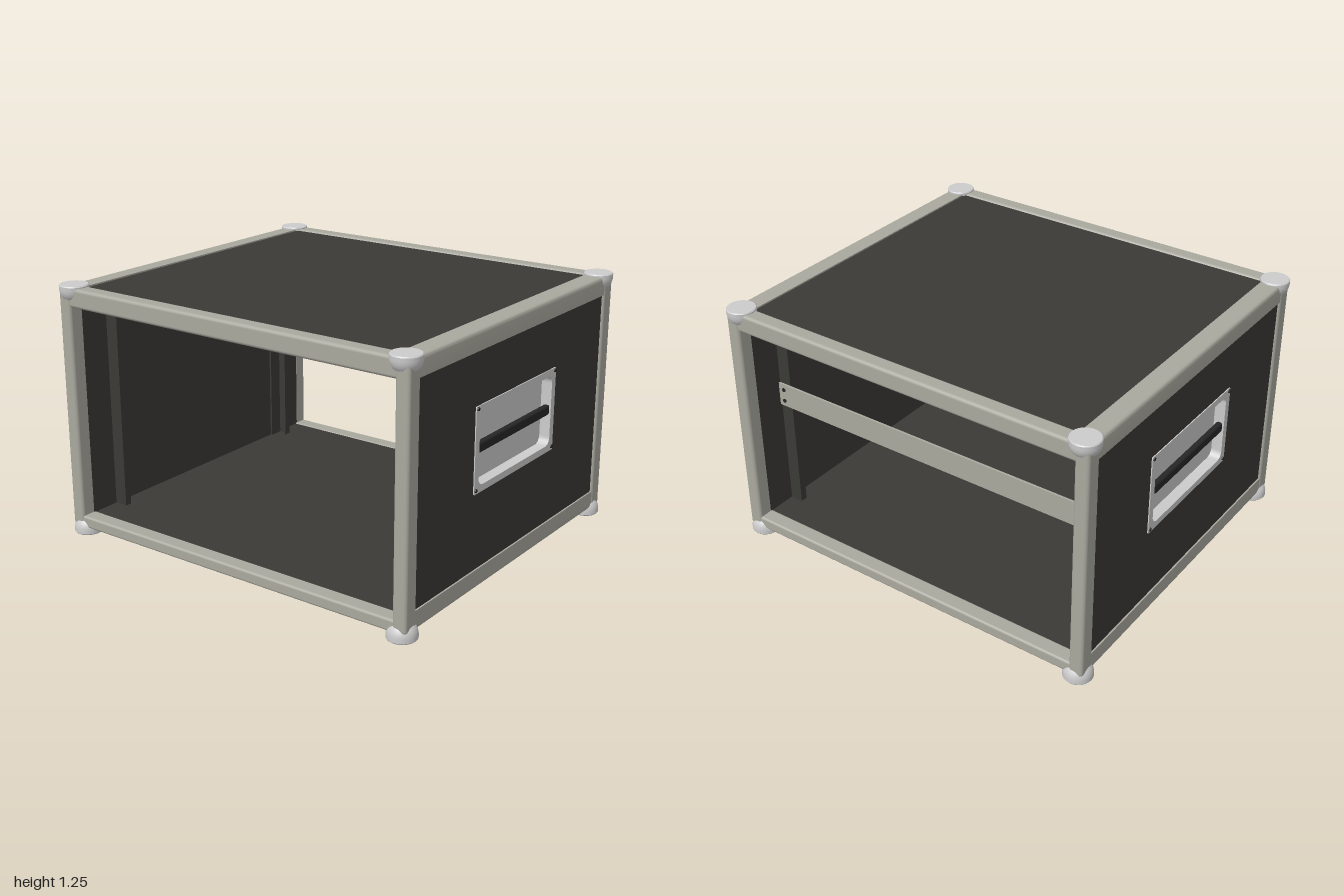
import * as THREE from 'three';
import { RoundedBoxGeometry } from 'three/addons/geometries/RoundedBoxGeometry.js';
import { toCreasedNormals } from 'three/addons/utils/BufferGeometryUtils.js';

const mat = (color) => new THREE.MeshStandardMaterial({ color });
const metal = mat(0xcccccc);
const frame = mat(0xaaa99f);
const board = mat(0x3a3936);
const black = mat(0x262626);

function add(parent, name, geometry, material, x = 0, y = 0, z = 0) {
  const mesh = new THREE.Mesh(geometry, material);
  mesh.name = name;
  mesh.position.set(x, y, z);
  parent.add(mesh);
  return mesh;
}

// Box given by its limits on each axis, optionally with rounded edges
function block(parent, name, material, [x0, x1], [y0, y1], [z0, z1], r = 0) {
  const size = [Math.abs(x1 - x0), Math.abs(y1 - y0), Math.abs(z1 - z0)];
  const geo = r ? new RoundedBoxGeometry(...size, 3, r) : new THREE.BoxGeometry(...size);
  return add(parent, name, geo, material, (x0 + x1) / 2, (y0 + y1) / 2, (z0 + z1) / 2);
}

// Rounded rectangle centred on (0, cy)
function roundRect(w, h, r, cy, ShapeType = THREE.Shape) {
  const s = new ShapeType();
  const a = w / 2 - r, b = h / 2 - r;
  s.absarc(a, cy + b, r, 0, Math.PI / 2);
  s.absarc(-a, cy + b, r, Math.PI / 2, Math.PI);
  s.absarc(-a, cy - b, r, Math.PI, Math.PI * 1.5);
  s.absarc(a, cy - b, r, Math.PI * 1.5, Math.PI * 2);
  s.closePath();
  return s;
}

// Edge angle running front to back, outer corner at (x, y)
function edgeAngle(x, y, sx, sy) {
  const w = 0.096, h = 0.092, t = 0.012, r = 0.02;
  const s = new THREE.Shape();
  s.moveTo(x - sx * w, y);
  s.lineTo(x - sx * r, y);
  s.quadraticCurveTo(x, y, x, y - sy * r);
  s.lineTo(x, y - sy * h);
  s.lineTo(x - sx * t, y - sy * h);
  s.lineTo(x - sx * t, y - sy * t);
  s.lineTo(x - sx * w, y - sy * t);
  s.closePath();
  const geo = new THREE.ExtrudeGeometry(s, { depth: 1.66, bevelEnabled: false, curveSegments: 6 });
  return toCreasedNormals(geo.translate(0, 0, -0.83), 0.5);
}

// Ball corner: half ball below a short flat-topped rim
function cornerGeometry() {
  const pts = [];
  for (let i = 0; i <= 10; i++) {
    const a = (i / 10) * Math.PI / 2;
    pts.push(new THREE.Vector2(0.07 * Math.sin(a), -0.07 * Math.cos(a)));
  }
  pts.push(new THREE.Vector2(0.07, 0.015), new THREE.Vector2(0.066, 0.02), new THREE.Vector2(0, 0.02));
  return toCreasedNormals(new THREE.LatheGeometry(pts, 32), 0.6);
}

// Side wall with its recessed handle, built facing +z and then turned outward
function createSide(sign) {
  const side = new THREE.Group();
  side.name = sign > 0 ? 'leftSide' : 'rightSide';
  const cy = 0.695;
  const wall = new THREE.Shape([[-0.85, 0.05], [0.85, 0.05], [0.85, 1.22], [-0.85, 1.22]]
    .map((p) => new THREE.Vector2(...p)));
  wall.holes.push(roundRect(0.645, 0.345, 0.04, cy, THREE.Path));
  add(side, 'sidePanel', new THREE.ExtrudeGeometry(wall, { depth: 0.052, bevelEnabled: false }), board, 0, 0, 0.918);
  block(side, 'sidePanelLining', board, [-0.85, 0.85], [0.05, 1.22], [0.912, 0.919]);

  // Handle plate and dish
  const plate = roundRect(0.707, 0.405, 0.006, cy);
  plate.holes.push(roundRect(0.64, 0.34, 0.038, cy, THREE.Path));
  add(side, 'handlePlate', new THREE.ExtrudeGeometry(plate, { depth: 0.006, bevelEnabled: false }), metal, 0, 0, 0.969);
  const rim = roundRect(0.645, 0.345, 0.04, cy);
  rim.holes.push(roundRect(0.64, 0.34, 0.038, cy, THREE.Path));
  add(side, 'handleDishWall', toCreasedNormals(
    new THREE.ExtrudeGeometry(rim, { depth: 0.05, bevelEnabled: false }), 0.5), metal, 0, 0, 0.92);
  add(side, 'handleDishFloor', new THREE.ExtrudeGeometry(roundRect(0.642, 0.342, 0.039, cy),
    { depth: 0.003, bevelEnabled: false }), metal, 0, 0, 0.919);
  block(side, 'handleGrip', black, [-0.32, 0.32], [0.672, 0.721], [0.94, 0.97], 0.01);
  for (const x of [-0.34, 0.34]) for (const y of [0.51, 0.885]) {
    const screw = new THREE.CylinderGeometry(0.008, 0.009, 0.006, 12).rotateX(Math.PI / 2);
    add(side, 'handleScrew', screw, black, x, y, 0.977);
  }
  side.rotation.y = sign * Math.PI / 2;
  return side;
}

export function createModel() {
  const model = new THREE.Group();
  model.name = 'rackCase';

  // Boards
  block(model, 'topPanel', board, [-0.965, 0.965], [1.17, 1.23], [-0.85, 0.85]);
  block(model, 'bottomPanel', board, [-0.965, 0.965], [0.042, 0.09], [-0.85, 0.85]);

  const corner = cornerGeometry();
  for (const sx of [-1, 1]) {
    model.add(createSide(sx));
    add(model, 'topSideEdge', edgeAngle(sx * 0.978, 1.237, sx, 1), frame);
    add(model, 'bottomSideEdge', edgeAngle(sx * 0.978, 0.035, sx, -1), frame);

    for (const sz of [-1, 1]) {
      block(model, 'cornerPost', frame, [sx * 0.911, sx * 0.981], [0.04, 1.23],
        [sz * 0.798, sz * 0.883], 0.016);
      add(model, 'topCorner', corner, metal, sx * 0.93, 1.228, sz * 0.83);
      add(model, 'bottomCorner', corner, metal, sx * 0.93, 0.02, sz * 0.83).rotation.x = Math.PI;

      // Rack rail: face flange, inner lip and wall leg
      const rail = new THREE.Group();
      rail.name = 'rackRail';
      const y = [0.09, 1.095];
      block(rail, 'railFace', board, [sx * 0.845, sx * 0.912], y, [sz * 0.643, sz * 0.655]);
      block(rail, 'railLip', board, [sx * 0.845, sx * 0.855], y, [sz * 0.62, sz * 0.655]);
      block(rail, 'railLeg', board, [sx * 0.902, sx * 0.912], y, [sz * 0.57, sz * 0.655]);
      model.add(rail);
    }

    // Cross bar screws
    for (const y of [0.68, 0.74]) {
      const screw = new THREE.CylinderGeometry(0.01, 0.01, 0.006, 12).rotateX(Math.PI / 2);
      add(model, 'crossBarScrew', screw, black, sx * 0.88, y, -0.667);
    }
  }

  // Rails around the front and back openings
  for (const sz of [-1, 1]) {
    block(model, 'topRail', frame, [-0.93, 0.93], [1.144, 1.238], [sz * 0.795, sz * 0.878], 0.016);
    block(model, 'bottomRail', frame, [-0.93, 0.93], [0.035, 0.094], [sz * 0.795, sz * 0.878], 0.012);
  }

  // Rear cross bar
  block(model, 'rearCrossBar', frame, [-0.911, 0.911], [0.65, 0.77], [-0.666, -0.655]);
  return model;
}
